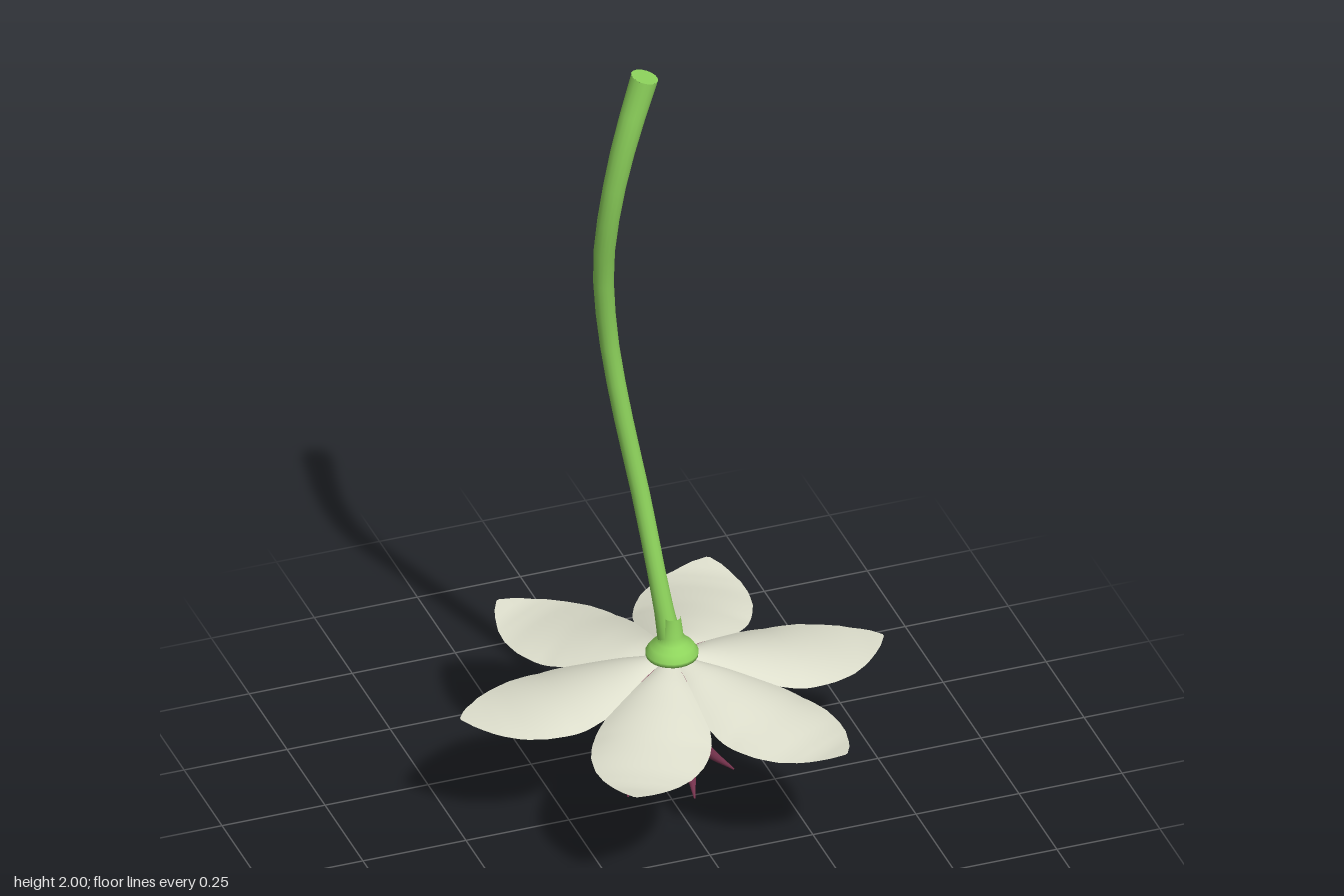
import * as THREE from 'three';

const green = new THREE.MeshStandardMaterial({ name: 'stemGreen', color: 0x8ed45c });
const white = new THREE.MeshStandardMaterial({ name: 'petalWhite', color: 0xdedfcd, side: THREE.DoubleSide });
const maroon = new THREE.MeshStandardMaterial({ name: 'heartMaroon', color: 0x7a3550, side: THREE.DoubleSide });

// Linear interpolation through [position, value] pairs
function sample(table, t) {
  for (let i = 1; i < table.length; i++) {
    const [a, va] = table[i - 1], [b, vb] = table[i];
    if (t <= b) return va + (vb - va) * (t - a) / (b - a);
  }
  return table[table.length - 1][1];
}

const curveOf = (points) => new THREE.CatmullRomCurve3(points.map((p) => new THREE.Vector3(...p)));

// Tube whose radius follows a table of [position along path, radius]
function taperedTube(name, points, radii, segments, sides, material) {
  const path = curveOf(points);
  const geo = new THREE.TubeGeometry(path, segments, 1, sides);
  const pos = geo.attributes.position, v = new THREE.Vector3();
  for (let i = 0; i <= segments; i++) {
    const centre = path.getPointAt(i / segments), r = sample(radii, i / segments);
    for (let j = 0; j <= sides; j++) {
      const k = i * (sides + 1) + j;
      v.fromBufferAttribute(pos, k).sub(centre).multiplyScalar(r).add(centre);
      pos.setXYZ(k, v.x, v.y, v.z);
    }
  }
  const mesh = new THREE.Mesh(geo, material);
  mesh.name = name;
  return mesh;
}

// Petal profiles along the radius: half width, ridge height, edge height
const WIDTH = [[0, 0.004], [0.06, 0.034], [0.1, 0.058], [0.15, 0.09], [0.2, 0.119], [0.25, 0.133], [0.3, 0.136],
  [0.35, 0.13], [0.4, 0.112], [0.44, 0.087], [0.48, 0.05], [0.5, 0.027], [0.513, 0.004]];
const RIDGE = [[0, 0.402], [0.1, 0.391], [0.2, 0.372], [0.3, 0.35], [0.4, 0.332], [0.46, 0.328], [0.513, 0.336]];
const EDGE = [[0, 0.4], [0.1, 0.376], [0.2, 0.34], [0.27, 0.325], [0.4, 0.322], [0.46, 0.326], [0.513, 0.336]];

// Domed petal surface along +x, out to the given radius
function petalGeometry(length, drop) {
  const rows = 28, cols = 12;
  const geo = new THREE.PlaneGeometry(1, 1, cols, rows);
  const pos = geo.attributes.position;
  for (let i = 0; i <= rows; i++) {
    const r = length * i / rows;
    const w = sample(WIDTH, r), ridge = sample(RIDGE, r), edge = sample(EDGE, r);
    for (let j = 0; j <= cols; j++) {
      const t = 2 * j / cols - 1;
      pos.setXYZ(i * (cols + 1) + j, r, ridge + (edge - ridge) * t * t - drop, -t * w);
    }
  }
  // Reverse the winding so the front faces up
  const index = geo.index;
  for (let k = 0; k < index.count; k += 3) {
    const b = index.getX(k + 1);
    index.setX(k + 1, index.getX(k + 2));
    index.setX(k + 2, b);
  }
  geo.computeVertexNormals();
  if (geo.attributes.normal.getY(rows / 2 * (cols + 1) + cols / 2) < 0) {
    index.array.reverse();
    geo.computeVertexNormals();
  }
  return geo;
}

export function createModel() {
  const model = new THREE.Group();

  // Curved stem with a closed top
  const stemPoints = [[0, 0.41, 0], [-0.018, 0.55, -0.025], [-0.05, 0.8, -0.07], [-0.085, 1.0, -0.088],
    [-0.12, 1.22, -0.09], [-0.147, 1.44, -0.053], [-0.149, 1.62, -0.008], [-0.122, 1.82, 0.02], [-0.076, 1.993, 0.026]];
  model.add(taperedTube('stem', stemPoints, [[0, 0.03], [0.08, 0.021], [0.5, 0.022], [0.8, 0.026], [1, 0.032]], 16, 16, green));
  const path = curveOf(stemPoints);
  const stemEnd = new THREE.Mesh(new THREE.CircleGeometry(0.032, 16), green);
  stemEnd.name = 'stemEnd';
  stemEnd.position.copy(path.getPointAt(1));
  stemEnd.quaternion.setFromUnitVectors(new THREE.Vector3(0, 0, 1), path.getTangentAt(1));
  model.add(stemEnd);

  // Swollen base where the stem meets the petals
  const profile = [[0, 0.392], [0.045, 0.392], [0.06, 0.398], [0.061, 0.408], [0.05, 0.424], [0.035, 0.436], [0.026, 0.452], [0.02, 0.5]];
  const receptacle = new THREE.Mesh(
    new THREE.LatheGeometry(profile.map(([x, y]) => new THREE.Vector2(x, y)), 24), green);
  receptacle.name = 'receptacle';
  model.add(receptacle);

  // Six petals with a dark heart on the underside
  const petalGeo = petalGeometry(0.513, 0);
  const heartGeo = petalGeometry(0.19, 0.005);
  const petals = new THREE.Group(), heart = new THREE.Group();
  petals.name = 'petals';
  heart.name = 'darkHeart';
  for (let i = 0; i < 6; i++) {
    const petal = new THREE.Mesh(petalGeo, white);
    petal.name = 'petal';
    const patch = new THREE.Mesh(heartGeo, maroon);
    patch.name = 'heartPatch';
    petal.rotation.y = patch.rotation.y = i * Math.PI / 3 + (i % 3 === 0 ? 0 : 0.01);
    petals.add(petal);
    heart.add(patch);
  }
  model.add(petals, heart);

  // Three hanging stamens: thin filament, then a spindle-shaped anther
  const stamens = [
    { filament: [[0, 0.39, 0], [-0.05, 0.33, -0.03], [-0.088, 0.26, -0.043], [-0.1, 0.19, -0.047]],
      anther: [[-0.1, 0.21, -0.047], [-0.103, 0.13, -0.05], [-0.09, 0.005, -0.045]] },
    { filament: [[0, 0.39, 0], [0, 0.34, 0.058], [0, 0.28, 0.085], [0, 0.2, 0.105]],
      anther: [[0, 0.22, 0.1], [0, 0.17, 0.117], [0, 0.098, 0.15]] },
    { filament: [[0, 0.39, 0], [0.012, 0.32, -0.006], [0.03, 0.25, -0.01], [0.06, 0.17, -0.014]],
      anther: [[0.052, 0.19, -0.013], [0.09, 0.11, -0.02], [0.165, 0.025, -0.042]] },
  ];
  for (const { filament, anther } of stamens) {
    const stamen = new THREE.Group();
    stamen.name = 'stamen';
    stamen.add(taperedTube('filament', filament, [[0, 0.006], [1, 0.005]], 12, 8, green));
    stamen.add(taperedTube('anther', anther, [[0, 0.001], [0.12, 0.009], [0.35, 0.014], [0.6, 0.011], [1, 0.002]], 14, 10, maroon));
    model.add(stamen);
  }
  return model;
}
